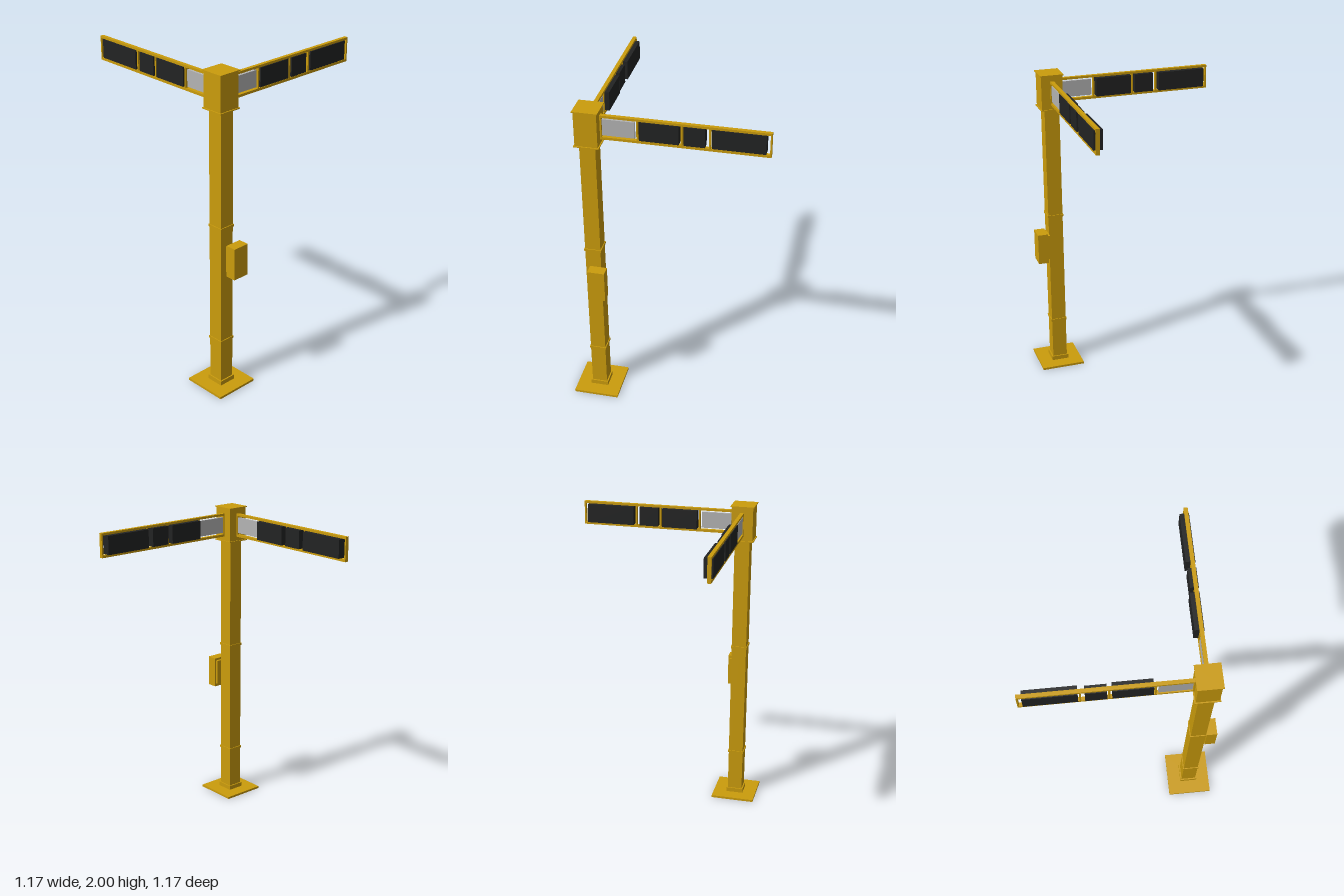
import * as THREE from 'three';

const yellow = new THREE.MeshStandardMaterial({ name: 'yellow paint', color: 0xcb9c0c });
const black = new THREE.MeshStandardMaterial({ name: 'black housing', color: 0x222323 });
const grey = new THREE.MeshStandardMaterial({ name: 'grey panel', color: 0xb4b4b4 });

// Box given by its minimum and maximum on each axis
function box(parent, name, material, [x0, x1], [y0, y1], [z0, z1]) {
  const mesh = new THREE.Mesh(new THREE.BoxGeometry(x1 - x0, y1 - y0, z1 - z0), material);
  mesh.position.set((x0 + x1) / 2, (y0 + y1) / 2, (z0 + z1) / 2);
  mesh.name = name;
  parent.add(mesh);
}

export function createModel() {
  const model = new THREE.Group();
  model.name = 'signalMast';
  const C = 0.447; // the post stands at x = -C, z = C

  // Square post with its base, bands and head
  const square = (name, half, y0, y1) =>
    box(model, name, yellow, [-C - half, -C + half], [y0, y1], [C - half, C + half]);
  square('basePlate', 0.14, 0, 0.014);
  square('baseCollar', 0.055, 0.014, 0.042);
  square('post', 0.047, 0.042, 1.78);
  square('lowerBand', 0.052, 0.308, 0.322);
  square('upperBand', 0.052, 1.058, 1.072);
  square('headFlange', 0.074, 1.777, 1.783);
  square('head', 0.067, 1.783, 1.994);
  square('headCap', 0.074, 1.994, 2);

  // Control cabinet on the front of the post
  box(model, 'cabinetBracket', yellow, [-0.455, -0.37], [0.78, 0.945], [0.494, 0.51]);
  box(model, 'cabinet', yellow, [-0.465, -0.36], [0.76, 0.96], [0.51, 0.576]);

  // Two matching arms: one along +x, the other mirrored to run along -z
  for (const side of ['left', 'back']) {
    const arm = new THREE.Group();
    arm.name = side + 'Arm';
    model.add(arm);
    const part = (name, material, along, y, across) => {
      const mirror = ([a, b]) => [-b, -a];
      if (side === 'left') box(arm, name, material, along, y, across);
      else box(arm, name, material, mirror(across), y, mirror(along));
    };
    const depth = [0.434, 0.457];

    // Frame
    part('topRail', yellow, [-0.38, 0.586], [1.946, 1.96], depth);
    part('bottomRail', yellow, [-0.38, 0.586], [1.81, 1.825], depth);
    for (const [a, b] of [[-0.38, -0.371], [-0.171, -0.162], [0.081, 0.091], [0.239, 0.249], [0.577, 0.586]])
      part('upright', yellow, [a, b], [1.825, 1.946], depth);

    // Panels
    part('greyPanel', grey, [-0.368, -0.181], [1.835, 1.936], [0.438, 0.453]);
    part('innerDisplay', black, [-0.155, 0.07], [1.829, 1.945], [0.408, 0.462]);
    part('middleDisplay', black, [0.098, 0.218], [1.829, 1.945], [0.414, 0.462]);
    part('outerDisplay', black, [0.256, 0.557], [1.829, 1.945], [0.408, 0.462]);
  }
  return model;
}
